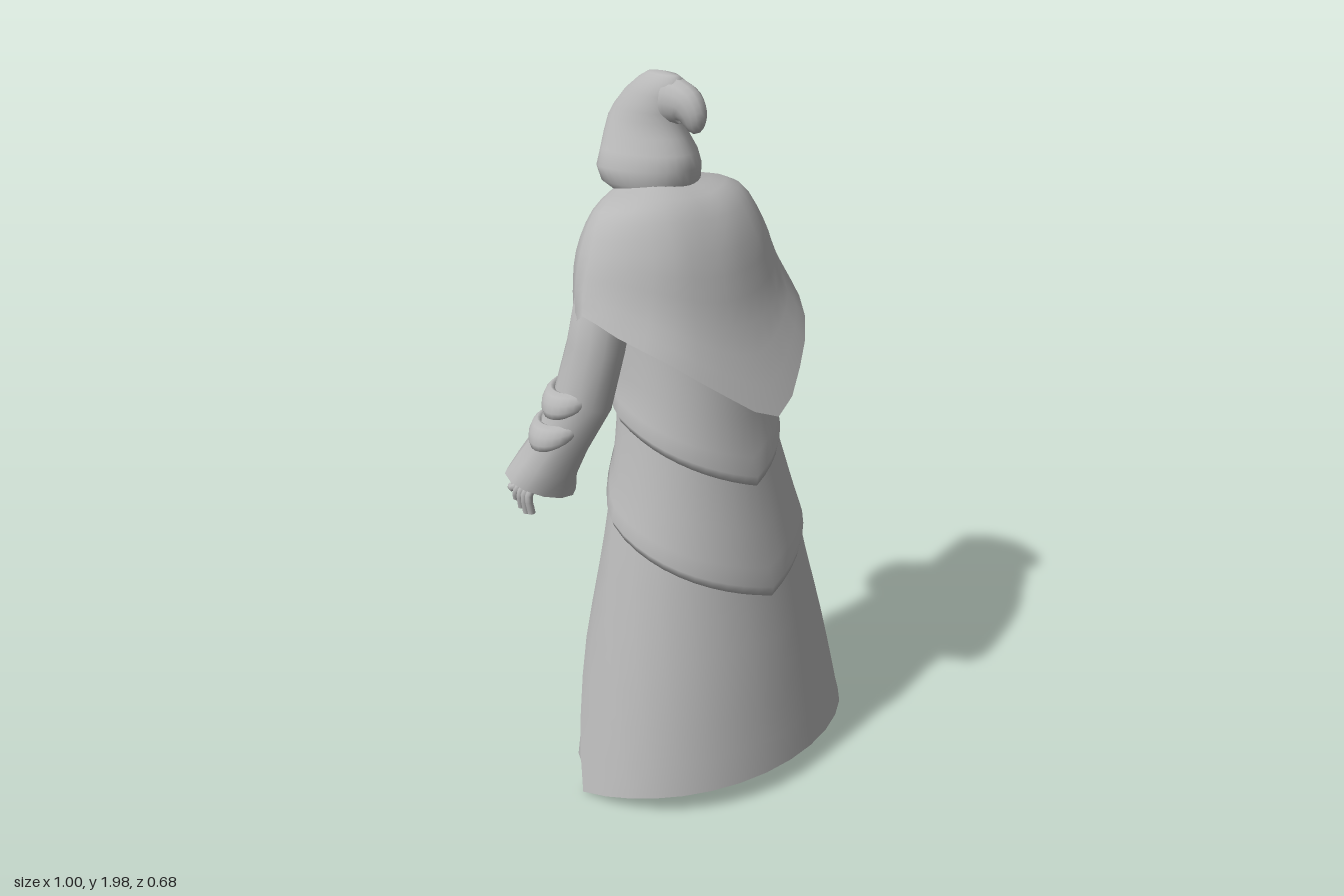
import * as THREE from 'three';
import { mergeVertices } from 'three/addons/utils/BufferGeometryUtils.js';

const cloth = new THREE.MeshStandardMaterial({ color: 0xb8b8b8, side: THREE.DoubleSide });
cloth.name = 'grey cloth';

const V = (x, y, z) => new THREE.Vector3(x, y, z);
const lerp = THREE.MathUtils.lerp;

function add(parent, name, geometry) {
  const mesh = new THREE.Mesh(geometry, cloth);
  mesh.name = name;
  parent.add(mesh);
  return mesh;
}

// smooth grid surface; fn(u, v) gives a point, u and v in 0..1
function surface(fn, nu, nv) {
  const pos = [], index = [];
  for (let j = 0; j <= nv; j++)
    for (let i = 0; i <= nu; i++) pos.push(...fn(i / nu, j / nv).toArray());
  for (let j = 0; j < nv; j++)
    for (let i = 0; i < nu; i++) {
      const a = j * (nu + 1) + i, b = a + nu + 1;
      index.push(a, b, a + 1, b, b + 1, a + 1);
    }
  let g = new THREE.BufferGeometry();
  g.setAttribute('position', new THREE.Float32BufferAttribute(pos, 3));
  g.setIndex(index);
  g = mergeVertices(g, 1e-5);
  g.computeVertexNormals();
  return g;
}

// linear lookup in a table sorted by its first column
function look(table, y) {
  let i = 0;
  while (i < table.length - 2 && y > table[i + 1][0]) i++;
  const a = table[i], b = table[i + 1];
  const t = THREE.MathUtils.clamp((y - a[0]) / (b[0] - a[0]), 0, 1);
  return a.map((n, k) => lerp(n, b[k], t));
}

const tube = (pts, r, n = 24) =>
  new THREE.TubeGeometry(new THREE.CatmullRomCurve3(pts.map(p => V(...p))), n, r, 8);

// body section: height, half width, z of the back, z of the widest point, z of the chest
const BODY = [
  [0.02, 0.465, 0.345, 0, -0.268], [0.4, 0.383, 0.285, -0.03, -0.26], [0.8, 0.29, 0.205, -0.05, -0.21],
  [1.0, 0.24, 0.155, -0.07, -0.195], [1.2, 0.208, 0.12, -0.09, -0.21], [1.4, 0.2, 0.08, -0.11, -0.235],
  [1.6, 0.16, 0.01, -0.13, -0.245], [1.72, 0.08, -0.07, -0.15, -0.22],
];

// angle 0 is the +z side
function body(y, ang, off = 0) {
  const [, w, zb, zc, zf] = look(BODY, y);
  const c = Math.cos(ang);
  const z = c > 0 ? (zb - zc + off) * c ** 0.9 : -(zc - zf + off) * (-c) ** 0.78;
  return V((w + off) * Math.sin(ang), y, zc + z);
}

// V-hemmed coat tier with a rolled lower edge; lift raises the hem at the open ends
function tier(top, low, rise, lift, out) {
  const rows = [[0, 0.004], [0.3, 0.006], [0.65, 0.009], [0.85, out], [0.95, out + 0.004], [1, out - 0.006], [0.98, -0.012]];
  return surface((u, v) => {
    const ang = (u * 2 - 1) * 2.4, a = Math.abs(ang) / (Math.PI / 2);
    const [t, off] = rows[Math.round(v * (rows.length - 1))];
    const hem = low + rise * a + lift * Math.max(0, a - 0.9) ** 2;
    return body(lerp(Math.max(top, hem + 0.03), hem, t), ang, off);
  }, 32, rows.length - 1);
}

// swollen crescent bent around a vertical axis, bulging toward -z
function crescent(R, A, h, d, sag) {
  return surface((u, v) => {
    const s = u * 2 - 1, p = v * Math.PI * 2;
    const k = Math.sqrt(Math.max(0, 1 - s * s));
    const r = R + d * k * Math.cos(p);
    return V(r * Math.sin(s * A), sag * s * s + h * k * Math.sin(p), R - r * Math.cos(s * A));
  }, 14, 10);
}

function sleeve() {
  // centre x, y, z, half width, half depth, slope
  const R = [
    [0.19, 1.61, -0.14, 0.05, 0.06, 0], [0.255, 1.46, -0.125, 0.085, 0.08, 0], [0.295, 1.32, -0.125, 0.075, 0.083, 0.1],
    [0.325, 1.17, -0.15, 0.07, 0.085, 0.2], [0.36, 1.05, -0.2, 0.066, 0.073, 0.3],
    [0.388, 0.97, -0.235, 0.084, 0.077, 0.3], [0.396, 0.912, -0.257, 0.105, 0.084, 0.3],
  ];
  return surface((u, v) => {
    const [x, y, z, a, b, s] = R[Math.round(v * (R.length - 1))];
    const dx = a * Math.cos(u * Math.PI * 2), dz = b * Math.sin(u * Math.PI * 2);
    return V(x + dx, y + s * (dx - dz), z + dz);
  }, 12, R.length - 1);
}

function makeArm() {
  const arm = new THREE.Group();
  arm.name = 'arm';
  add(arm, 'sleeve', sleeve());
  // forearm guards
  for (const [x, y, z] of [[0.405, 1.165, -0.178], [0.431, 1.07, -0.208]]) {
    const guard = add(arm, 'forearmGuard', crescent(0.083, 1.35, 0.04, 0.02, 0.065));
    guard.rotation.set(0.1, -Math.PI / 2 + 0.1, 0.3, 'ZYX');
    guard.position.set(x, y, z);
  }
  // hand with spread fingers
  const palm = add(arm, 'palm', new THREE.SphereGeometry(0.04, 12, 8));
  palm.scale.set(0.6, 1.3, 1);
  palm.position.set(0.42, 0.935, -0.26);
  [0.835, 0.83, 0.84, 0.86, 0.89].forEach((y, i) => {
    const z = -0.235 - i * 0.013;
    add(arm, 'finger', tube([[0.42, 0.93, z], [0.45, 0.89, z - 0.01 - i * 0.004], [0.445, y, z - 0.008 - i * 0.008]], 0.011, 6));
  });
  return arm;
}

function makeCape() {
  // half cross-sections from the +z middle round to the chest opening
  const rows = [
    [[0, 1.715, -0.085], [0.05, 1.715, -0.09], [0.085, 1.715, -0.12], [0.1, 1.71, -0.16], [0.1, 1.705, -0.2], [0.085, 1.7, -0.245], [0.06, 1.68, -0.275]],
    [[0, 1.67, 0.01], [0.07, 1.675, 0.003], [0.14, 1.68, -0.025], [0.205, 1.675, -0.08], [0.235, 1.665, -0.16], [0.2, 1.65, -0.23], [0.12, 1.62, -0.28]],
    [[0, 1.565, 0.085], [0.08, 1.565, 0.075], [0.17, 1.57, 0.045], [0.25, 1.575, -0.03], [0.302, 1.57, -0.13], [0.28, 1.56, -0.21], [0.17, 1.54, -0.27]],
    [[0, 1.37, 0.148], [0.105, 1.385, 0.132], [0.205, 1.43, 0.08], [0.285, 1.47, -0.01], [0.338, 1.49, -0.12], [0.305, 1.455, -0.2], [0.195, 1.44, -0.26]],
    [[0, 1.14, 0.265], [0.145, 1.225, 0.21], [0.26, 1.32, 0.125], [0.335, 1.385, 0], [0.362, 1.425, -0.1], [0.32, 1.36, -0.18], [0.21, 1.34, -0.25]],
  ];
  const curves = rows.map(r => new THREE.CatmullRomCurve3(
    [...r.slice(1).reverse().map(p => V(-p[0], p[1], p[2])), ...r.map(p => V(...p))]));
  return surface((u, v) => new THREE.CatmullRomCurve3(curves.map(c => c.getPoint(u))).getPoint(v), 24, 12);
}

function makeHood() {
  // height, half width, z of the nape, z of the rim, wrap angle
  const H = [
    [1.685, 0.115, -0.078, -0.275, 2.6], [1.71, 0.138, -0.066, -0.283, 2.3], [1.75, 0.143, -0.06, -0.293, 2.2],
    [1.79, 0.122, -0.065, -0.303, 2.3], [1.83, 0.1, -0.09, -0.315, 2.45], [1.87, 0.084, -0.1, -0.325, 2.75],
    [1.895, 0.075, -0.1, -0.33, Math.PI], [1.94, 0.06, -0.09, -0.29, Math.PI],
    [1.975, 0.042, -0.085, -0.245, Math.PI], [1.992, 0.022, -0.11, -0.215, Math.PI], [1.998, 0, -0.17, -0.17, Math.PI],
  ];
  return surface((u, v) => {
    const s = u * 2 - 1;
    const [y, w, zb, zf, a] = H[Math.round(v * (H.length - 1))];
    return V(w * Math.sin(a * s), y, lerp(zf, zb, (1 + Math.cos(Math.PI * s)) / 2));
  }, 28, H.length - 1);
}

// curled peak of the hood
function makePeak() {
  const path = new THREE.CatmullRomCurve3(
    [[0, 1.925, -0.13], [0, 1.925, -0.1], [0, 1.92, -0.075], [0, 1.9, -0.055], [0, 1.875, -0.048], [0, 1.848, -0.05]].map(p => V(...p)));
  return surface((u, v) => {
    const p = path.getPoint(v), t = path.getTangent(v), q = u * Math.PI * 2;
    const r = 0.066 * (1 - 0.5 * v) * Math.sqrt(1 - v ** 5);
    return V(r * 0.8 * Math.cos(q), p.y + r * Math.sin(q) * t.z, p.z - r * Math.sin(q) * t.y);
  }, 14, 14);
}

export function createModel() {
  const model = new THREE.Group();
  model.name = 'hoodedFigure';

  // inner robe and the open coat over it
  add(model, 'innerRobe', surface((u, v) => {
    const ang = u * Math.PI * 2;
    return body(lerp(1.64, 0.076 + 0.014 * Math.cos(ang), v), ang, -0.01);
  }, 28, 16));
  add(model, 'coatSkirt', surface((u, v) => {
    const s = u * 2 - 1, edge = lerp(2.35, 1.67, v ** 1.6);
    return body(lerp(1.05, 0.08 - 0.065 * s ** 4, v), s * edge, 0.003);
  }, 16, 10));
  add(model, 'lowerTier', tier(1.15, 0.59, 0.195, 0.3, 0.012));
  add(model, 'upperTier', tier(1.45, 0.91, 0.17, 0, 0.018));
  add(model, 'cape', makeCape());
  add(model, 'hood', makeHood());
  add(model, 'hoodPeak', makePeak());

  // chest plates and hanging plates
  const place = (name, g, y, z) => add(model, name, g).position.set(0, y, z);
  place('chestPlate', crescent(0.13, 0.75, 0.055, 0.035, 0.06), 1.465, -0.285);
  place('collarPlate', crescent(0.11, 0.65, 0.022, 0.015, 0.03), 1.56, -0.262);
  for (const y of [0.965, 0.805, 0.645])
    place('hangingPlate', crescent(0.15, 0.66, 0.045, 0.03, 0.06), y, look(BODY, y)[4] - 0.01);

  // belt with a loose sash end on the left hip
  const belt = [];
  for (let i = 0; i <= 8; i++) {
    const s = i / 4 - 1;
    belt.push(body(1.115 + 0.02 * s * s, Math.PI - s * 0.85, 0.01).toArray());
  }
  add(model, 'belt', tube(belt, 0.032));
  add(model, 'sash', tube([[0.1, 1.13, -0.22], [0.125, 1.04, -0.22], [0.12, 0.93, -0.21], [0.11, 0.8, -0.215]], 0.032));

  // mirrored parts
  const side = new THREE.Group();
  side.name = 'leftSide';
  side.add(makeArm());
  add(side, 'hangingCord', tube([[0.085, 1.12, -0.215], [0.09, 0.95, -0.21], [0.088, 0.8, -0.218], [0.085, 0.66, -0.233]], 0.011));
  // chest lapel, laid on the robe
  add(side, 'lapel', surface((u, v) => {
    const y = lerp(1.48, 1.25, v);
    return body(y, Math.PI - lerp(0.12 + 0.35 * v, 0.95 - 0.35 * v, u), 0.012);
  }, 6, 6));
  add(side, 'throatLace', tube([[0.045, 1.65, -0.265], [0, 1.625, -0.275], [-0.05, 1.6, -0.265]], 0.006, 8));

  // boot and shin
  const boot = add(side, 'boot', new THREE.SphereGeometry(0.075, 14, 10));
  boot.scale.set(1, 0.65, 1.75);
  boot.position.set(0.19, 0.085, -0.1);
  const shin = add(side, 'shin', new THREE.CylinderGeometry(0.065, 0.052, 0.4, 12));
  shin.position.set(0.18, 0.28, -0.04);
  model.add(side);
  const other = side.clone();
  other.name = 'rightSide';
  other.scale.x = -1;
  model.add(other);
  return model;
}
